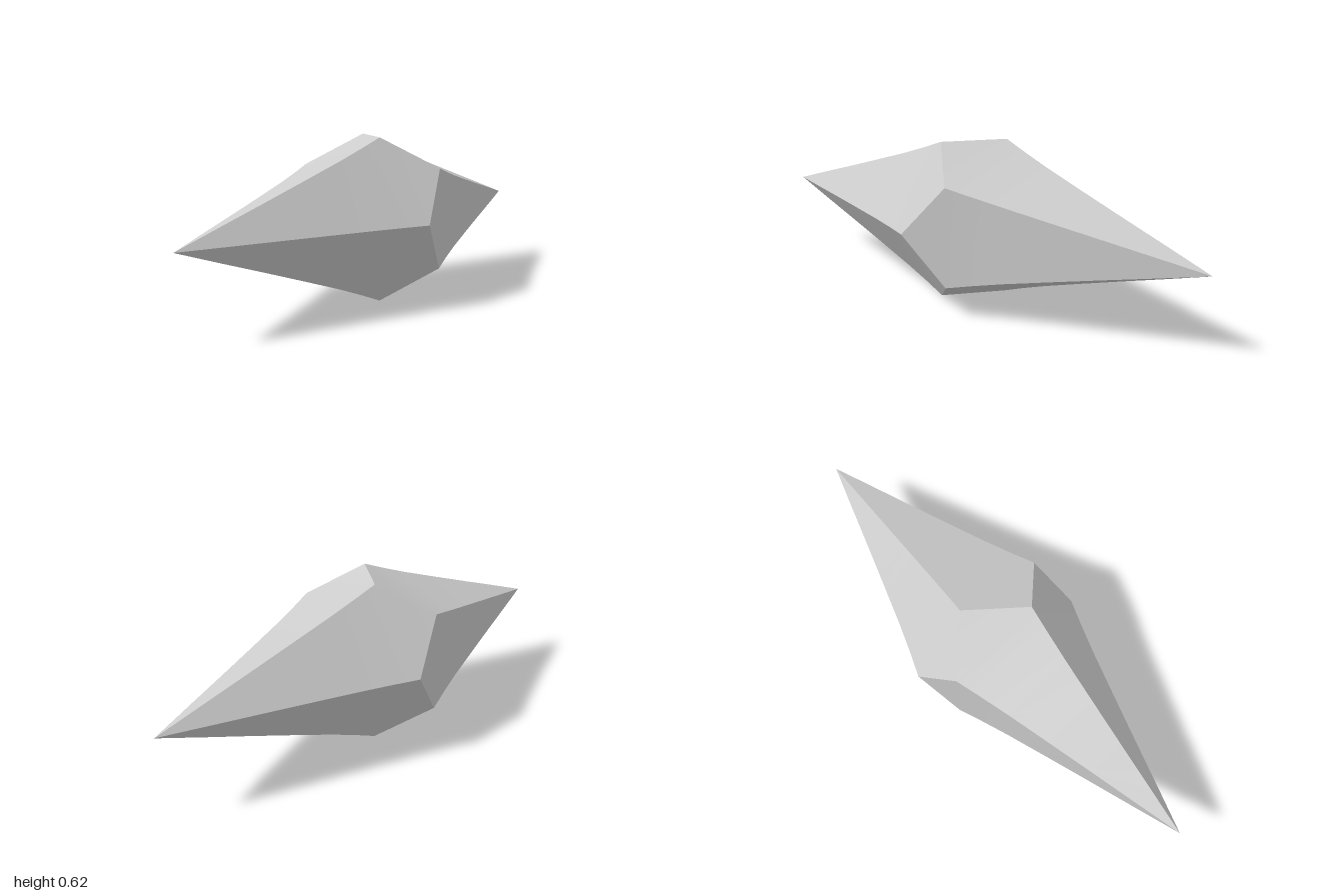
import * as THREE from 'three';

const RADIUS = 0.325;
const STEP = Math.PI / 5;

// Face profile from the apex to the girdle: [distance from axis, z]
const PROFILE = [
  [0, 1], [0.05, 0.82], [0.1, 0.637], [0.15, 0.457], [0.197, 0.29],
  [0.232, 0.175], [RADIUS * Math.cos(STEP), 0.08], [RADIUS, -0.08],
];

// One slightly curved kite face: widens along the profile, then closes to a tip
function kiteGeometry() {
  const pos = [], index = [];
  const last = PROFILE.length - 1;
  PROFILE.forEach(([d, z], i) => {
    if (i === 0 || i === last) {
      pos.push(d, 0, z);
    } else {
      const w = d * Math.tan(STEP);
      pos.push(d, -w, z, d, w, z);
    }
  });
  index.push(0, 1, 2);
  for (let i = 1; i < last - 1; i++) {
    const a = 2 * i - 1;
    index.push(a, a + 2, a + 3, a, a + 3, a + 1);
  }
  const end = 2 * last - 3;
  index.push(end, end + 2, end + 1);
  const geo = new THREE.BufferGeometry();
  geo.setAttribute('position', new THREE.Float32BufferAttribute(pos, 3));
  geo.setIndex(index);
  geo.computeVertexNormals();
  return geo;
}

export function createModel() {
  const model = new THREE.Group();
  model.name = 'tenSidedCrystal';
  const material = new THREE.MeshStandardMaterial({ color: 0xcccccc });
  const kite = kiteGeometry();

  // Five kites around an apex
  const half = (name, offset) => {
    const group = new THREE.Group();
    group.name = name;
    for (let k = 0; k < 5; k++) {
      const face = new THREE.Mesh(kite, material);
      face.name = name + 'Face' + (k + 1);
      face.rotation.z = offset + 2 * k * STEP;
      group.add(face);
    }
    group.position.y = RADIUS * Math.sin(2 * STEP);
    model.add(group);
    return group;
  };

  // Front point, and the back point interlocking with it by half a step
  half('frontPoint', STEP);
  half('backPoint', 0).rotation.x = Math.PI;
  return model;
}
